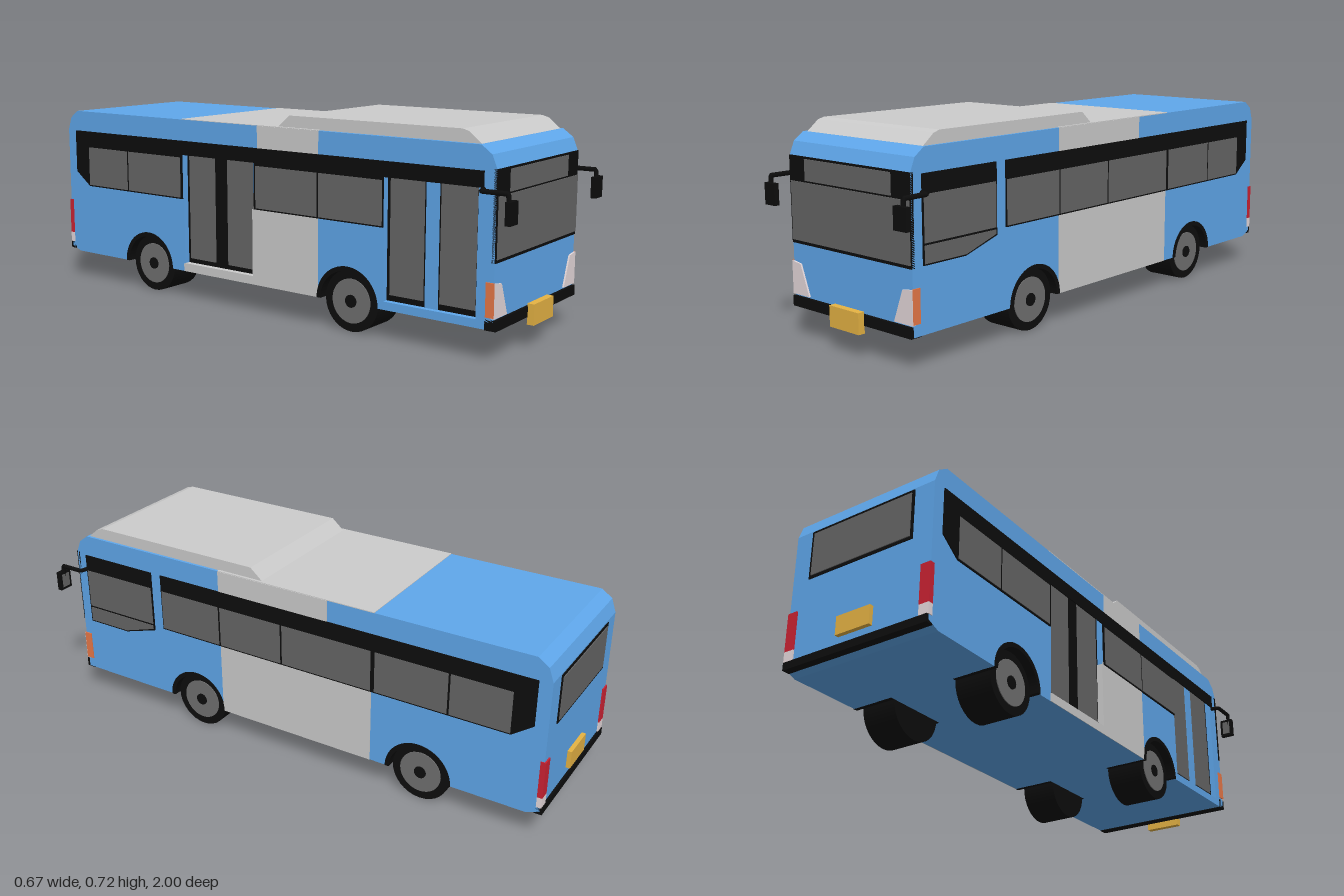
import * as THREE from 'three';

const mat = (color) => new THREE.MeshStandardMaterial({ color, flatShading: false });
const blue = mat(0x5fa7eb), white = mat(0xcccccc), black = mat(0x0d0d0d), glass = mat(0x666666);
const gold = mat(0xe6b344), red = mat(0xcc2233), orange = mat(0xe87848), lamp = mat(0xe6d9dc), rim = mat(0x707070);

const L = 0.28, R = -0.29, FLOOR = 0.107, ROOF = 0.675;
const AXLES = [0.385, -0.545], ARCH = 0.123;

export function createModel() {
  const bus = new THREE.Group();
  bus.name = 'bus';

  const add = (name, geometry, material, parent = bus) => {
    const m = new THREE.Mesh(geometry, material);
    m.name = name;
    parent.add(m);
    return m;
  };
  // box from its limits
  const box = (name, material, x0, x1, y0, y1, z0, z1) =>
    add(name, new THREE.BoxGeometry(x1 - x0, y1 - y0, z1 - z0), material)
      .position.set((x0 + x1) / 2, (y0 + y1) / 2, (z0 + z1) / 2);
  // side outline (shape x = -z) extruded across the bus from x0 to x1
  const across = (name, shape, material, x0, x1) => {
    const g = new THREE.ExtrudeGeometry(shape, { depth: x1 - x0, bevelEnabled: false, curveSegments: 24 });
    g.rotateY(Math.PI / 2).translate(x0, 0, 0);
    return add(name, g, material);
  };
  const outline = (pts) => new THREE.Shape(pts.map(([z, y]) => new THREE.Vector2(-z, y)));
  const rect = (z0, z1, y0, y1) => [[z0, y0], [z1, y0], [z1, y1], [z0, y1]];
  // thin panel lying on one side wall; lift sets how far it stands out
  const sidePanel = (name, pts, material, side, lift) => {
    const x = side > 0 ? L : R;
    across(name, outline(pts), material, Math.min(x, x + side * lift), Math.max(x, x + side * lift));
  };

  // body: side outline with optional wheel arches and door openings
  const bodyShape = (arches, holes = []) => {
    const s = new THREE.Shape();
    s.moveTo(-0.93, FLOOR);
    if (arches) for (const z of AXLES) {
      s.lineTo(-z - ARCH, FLOOR);
      s.absarc(-z, FLOOR, ARCH, Math.PI, 0, true);
    }
    for (const [z, y] of [[-0.94, FLOOR], [-0.985, 0.125], [-0.985, 0.6], [-0.968, 0.648],
      [-0.93, ROOF], [0.875, ROOF], [0.912, 0.648], [0.93, 0.605]]) s.lineTo(-z, y);
    s.closePath();
    for (const h of holes) s.holes.push(outline(rect(...h)));
    return s;
  };
  const rearDoor = [-0.355, -0.02, 0.135, 0.585], frontDoor = [0.53, 0.87, 0.135, 0.585];
  const DEPTH = 0.025;
  across('bodyLeft', bodyShape(true), blue, 0.12, L);
  across('bodyCentre', bodyShape(false), blue, -0.13, 0.12);
  across('bodyRight', bodyShape(true), blue, R + DEPTH, -0.13);
  across('bodyDoorWall', bodyShape(true, [rearDoor, frontDoor]), blue, R, R + DEPTH);

  // pale middle section
  box('roofPanel', white, R, L, ROOF - 0.001, ROOF + 0.002, -0.365, 0.265);
  sidePanel('paleSideLeft', rect(-0.36, 0.265, FLOOR, 0.39), white, 1, 0.002);
  sidePanel('paleStripLeft', rect(-0.185, 0.265, 0.59, ROOF), white, 1, 0.002);
  sidePanel('paleStripRight', rect(0, 0.265, 0.59, ROOF), white, -1, 0.002);
  sidePanel('paleSideRight', rect(-0.02, 0.265, FLOOR, 0.39), white, -1, 0.002);
  sidePanel('paleSill', rect(-0.36, -0.02, FLOOR, 0.135), white, -1, 0.002);
  box('doorSill', white, R - 0.002, R + DEPTH, 0.13, 0.138, -0.355, -0.02);
  box('doorJamb', white, R - 0.002, R + DEPTH, 0.135, 0.38, -0.024, -0.018);

  // roof unit
  across('roofUnit', outline([[0.875, 0.67], [0.825, 0.71], [0.8, 0.717], [0.13, 0.717], [0.075, 0.67]]),
    white, -0.275, 0.27);

  // side windows
  const rearBand = (z1) => [[z1, 0.38], [z1, 0.597], [-0.94, 0.597], [-0.94, 0.434], [-0.866, 0.38]];
  const panes = (edges, side) => {
    for (let i = 0; i + 1 < edges.length; i++)
      sidePanel('sidePane', rect(edges[i + 1] + 0.004, edges[i] - 0.004, 0.385, 0.535), glass, side, 0.006);
  };
  sidePanel('windowBand', rearBand(0.528), black, 1, 0.004);
  panes([0.528, 0.265, 0, -0.361], 1);
  panes([-0.369, -0.646, -0.868], 1);
  sidePanel('driverWindowFrame', [[0.888, 0.32], [0.71, 0.32], [0.571, 0.362], [0.571, 0.597], [0.888, 0.597]], black, 1, 0.004);
  sidePanel('driverPane', rect(0.576, 0.883, 0.388, 0.535), glass, 1, 0.006);
  sidePanel('driverLowerPane', [[0.883, 0.325], [0.71, 0.325], [0.576, 0.367], [0.576, 0.381], [0.883, 0.381]], glass, 1, 0.006);
  sidePanel('windowBand', rearBand(-0.36), black, -1, 0.004);
  panes([-0.365, -0.646, -0.868], -1);
  sidePanel('windowBand', rect(-0.015, 0.528, 0.38, 0.597), black, -1, 0.004);
  panes([0.528, 0.265, -0.01], -1);
  sidePanel('doorHeader', rect(-0.36, 0.888, 0.545, 0.597), black, -1, 0.004);

  // recessed double doors on the right side
  const xd = R + DEPTH;
  for (const [z0, z1, y0, y1] of [rearDoor, frontDoor]) {
    const pale = z0 < 0, mid = (z0 + z1) / 2;
    box('doorFrame', black, xd - 0.004, xd + 0.004, y0, y1, z0, z1);
    box('doorPane', glass, xd - 0.007, xd, y0 + 0.02, y1, z0 + 0.012, mid - 0.03);
    box('doorPane', glass, xd - 0.007, xd, y0 + 0.02, y1, mid + 0.03, z1 - 0.012);
    if (!pale) box('doorPost', blue, xd - 0.007, xd, y0, y1, mid - 0.024, mid + 0.024);
  }

  // front face
  box('windscreenFrame', black, R, L, 0.317, 0.605, 0.92, 0.933);
  box('windscreen', glass, -0.283, 0.277, 0.328, 0.522, 0.92, 0.936);
  box('destinationPane', glass, -0.21, 0.197, 0.528, 0.598, 0.92, 0.936);
  box('frontBumper', black, R, L, 0.105, 0.14, 0.9, 0.94);
  box('frontPlate', gold, -0.075, 0.065, 0.08, 0.15, 0.938, 0.962);
  for (const side of [1, -1]) {
    const wall = side > 0 ? L : -R;
    const shape = new THREE.Shape([[wall + 0.003, 0.145], [wall + 0.003, 0.256], [wall - 0.04, 0.25], [wall - 0.08, 0.145]]
      .map(([x, y]) => new THREE.Vector2(side * x, y)));
    add('headlight', new THREE.ExtrudeGeometry(shape, { depth: 0.012, bevelEnabled: false }), lamp).position.z = 0.924;
    sidePanel('sideMarker', rect(0.904, 0.934, 0.147, 0.257), orange, side, 0.004);
  }

  // rear face
  box('rearWindowFrame', black, -0.215, 0.21, 0.42, 0.595, -0.988, -0.97);
  box('rearWindow', glass, -0.205, 0.2, 0.43, 0.585, -0.991, -0.97);
  box('rearBumper', black, R, L, 0.115, 0.142, -0.993, -0.965);
  box('rearPlate', gold, -0.075, 0.06, 0.17, 0.235, -1, -0.98);
  for (const [x0, x1] of [[R - 0.003, R + 0.035], [L - 0.035, L + 0.003]]) {
    box('tailLight', red, x0, x1, 0.18, 0.315, -0.99, -0.972);
    box('reverseLight', lamp, x0, x1, 0.142, 0.18, -0.99, -0.972);
  }

  // wheels with arch liners
  const cylinder = (name, r, x0, x1, z, material) => {
    const g = new THREE.CylinderGeometry(r, r, x1 - x0, 32).rotateZ(Math.PI / 2);
    add(name, g, material).position.set((x0 + x1) / 2, FLOOR, z);
  };
  for (const z of AXLES) for (const side of [1, -1]) {
    const span = (name, r, a, b, m) => {
      const xs = [side * a - 0.004, side * b - 0.004].sort((p, q) => p - q);
      cylinder(name, r, xs[0], xs[1], z, m);
    };
    span('tyre', 0.107, 0.124, 0.258, black);
    span('wheelRim', 0.077, 0.2, 0.261, rim);
    span('wheelHub', 0.022, 0.2, 0.265, black);
    const liner = new THREE.Shape();
    liner.absarc(-z, FLOOR, ARCH + 0.001, 0, Math.PI, false);
    liner.absarc(-z, FLOOR, 0.108, Math.PI, 0, true);
    across('archLiner', liner, black, side > 0 ? 0.12 : R - 0.003, side > 0 ? L + 0.003 : -0.13);
  }

  // mirrors on bent arms
  for (const side of [1, -1]) {
    const wall = side > 0 ? L : -R;
    const path = new THREE.CurvePath();
    const pts = [[wall - 0.01, 0.54, 0.885], [wall + 0.03, 0.54, 0.895], [wall + 0.03, 0.54, 0.985], [wall + 0.03, 0.49, 0.988]]
      .map(([x, y, z]) => new THREE.Vector3(side * x, y, z));
    for (let i = 0; i < 3; i++) path.add(new THREE.LineCurve3(pts[i], pts[i + 1]));
    add('mirrorArm', new THREE.TubeGeometry(path, 36, 0.008, 8), black);
    const x0 = side > 0 ? L : -0.335, x1 = side > 0 ? 0.335 : R + 0.005;
    box('mirrorHead', black, x0, x1, 0.446, 0.518, 0.982, 1);
    box('mirrorGlass', glass, x0 + 0.01, x1 - 0.01, 0.456, 0.508, 0.98, 0.99);
  }
  return bus;
}
